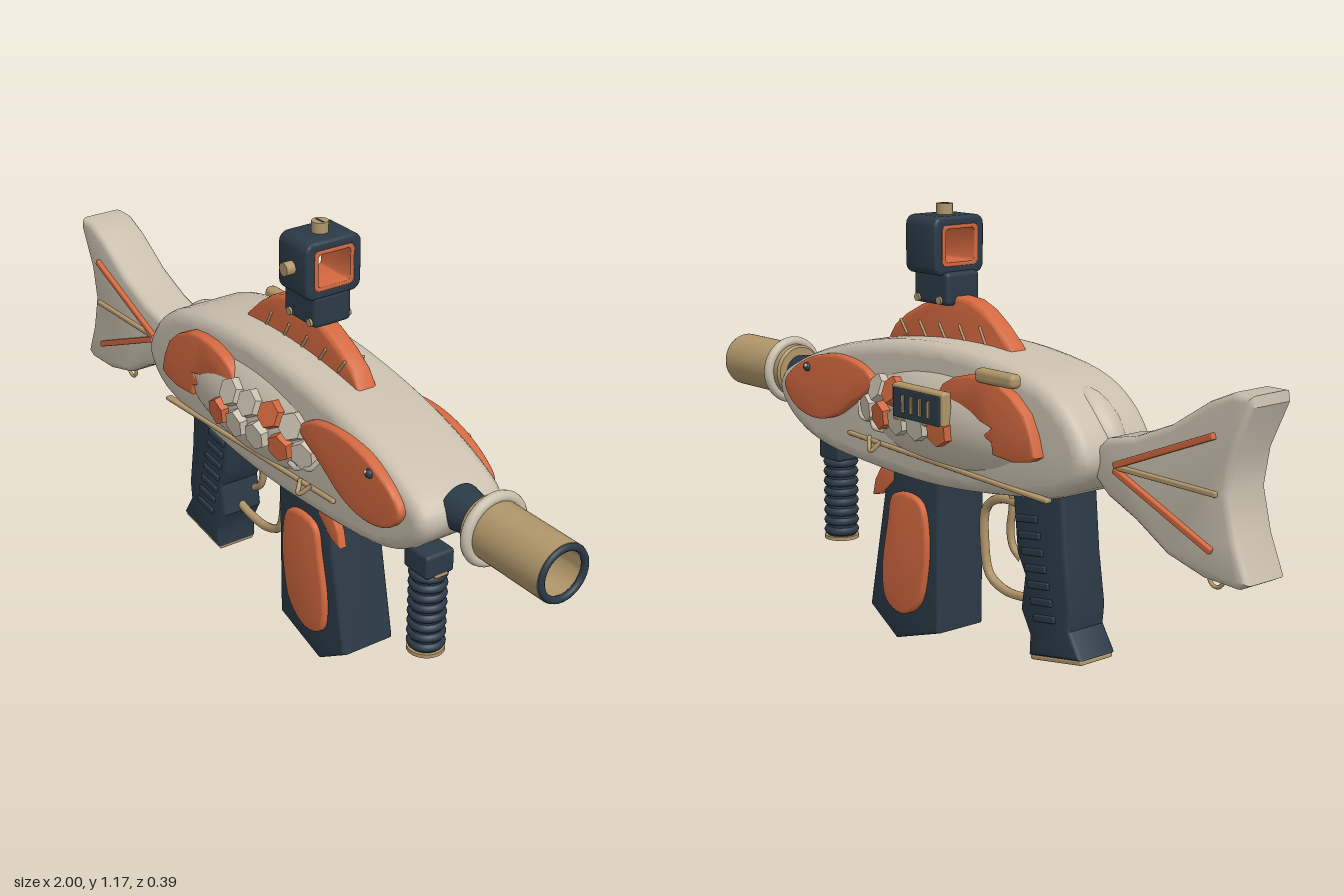
import * as THREE from 'three';
import { toCreasedNormals } from 'three/addons/utils/BufferGeometryUtils.js';
import { RoundedBoxGeometry } from 'three/addons/geometries/RoundedBoxGeometry.js';

const mat = (name, color) => {
  const m = new THREE.MeshStandardMaterial({ color });
  m.name = name;
  return m;
};

export function createModel() {
  const root = new THREE.Group();
  const cream = mat('cream', 0xc9bfae), orange = mat('coral orange', 0xd2683f);
  const navy = mat('dark navy', 0x2b3a47), tan = mat('brass tan', 0xb0966a);

  const add = (name, geo, material, x = 0, y = 0, z = 0) => {
    const mesh = new THREE.Mesh(geo, material);
    mesh.name = name;
    mesh.position.set(x, y, z);
    root.add(mesh);
    return mesh;
  };
  const v2 = (pts) => pts.map(([x, y]) => new THREE.Vector2(x, y));
  const smooth = (pts, n = 48) => {
    const c = new THREE.CatmullRomCurve3(pts.map(([x, y]) => new THREE.Vector3(x, y, 0)), true);
    return c.getPoints(n).slice(0, n).map((p) => [p.x, p.y]);
  };
  // Bevelled slab of total thickness w, centred on z = 0
  const slab = (pts, w, bevel = 0.01, holes = []) => {
    const shape = new THREE.Shape(v2(pts));
    holes.forEach((h) => shape.holes.push(new THREE.Path(v2(h))));
    const g = new THREE.ExtrudeGeometry(shape, {
      depth: w - 2 * bevel, bevelThickness: bevel, bevelSize: bevel, bevelOffset: -bevel, bevelSegments: 3, curveSegments: 8,
    });
    g.translate(0, 0, -w / 2 + bevel);
    return toCreasedNormals(g, 0.6);
  };
  const box = (w, h, d, r = 0.008) => new RoundedBoxGeometry(w, h, d, 2, r);
  const rod = (r, l, axis = 'y', r2 = r, sides = 28) => {
    const g = new THREE.CylinderGeometry(r2, r, l, sides);
    if (axis === 'x') g.rotateZ(-Math.PI / 2);
    if (axis === 'z') g.rotateX(Math.PI / 2);
    return g;
  };
  const tube = (pts, r, closed = false) => new THREE.TubeGeometry(
    new THREE.CatmullRomCurve3(pts.map(([x, y, z = 0]) => new THREE.Vector3(x, y, z)), closed), 28, r, 8, closed);
  const bar = (name, a, b, z, t, d, material) => {
    const m = add(name, box(Math.hypot(b[0] - a[0], b[1] - a[1]), t, d, 0.004), material, (a[0] + b[0]) / 2, (a[1] + b[1]) / 2, z);
    m.rotation.z = Math.atan2(b[1] - a[1], b[0] - a[0]);
  };

  // Fish body, swollen flanks and rear hump
  add('body', slab(smooth([[-0.55, 0.62], [-0.51, 0.71], [-0.41, 0.785], [-0.2, 0.83], [0, 0.837], [0.2, 0.82], [0.4, 0.78],
    [0.57, 0.72], [0.655, 0.665], [0.66, 0.62], [0.6, 0.55], [0.48, 0.5], [0.25, 0.475], [0, 0.468], [-0.25, 0.49], [-0.48, 0.535]], 72), 0.25, 0.035), cream);
  const bulge = { x: -0.05, y: 0.65, rx: 0.44, ry: 0.17, rz: 0.172 };
  add('flankBulge', new THREE.SphereGeometry(1, 48, 32), cream, bulge.x, bulge.y).scale.set(bulge.rx, bulge.ry, bulge.rz);
  const hump = add('rearHump', new THREE.SphereGeometry(1, 24, 18), cream, -0.475, 0.69);
  hump.scale.set(0.105, 0.052, 0.052);
  hump.rotation.z = 0.85;

  // Tail with rays on both faces
  add('tail', slab([[-0.995, 0.845], [-0.94, 0.845], [-0.87, 0.815], [-0.76, 0.745], [-0.65, 0.7], [-0.56, 0.68], [-0.53, 0.65],
    [-0.53, 0.58], [-0.57, 0.545], [-0.66, 0.505], [-0.76, 0.445], [-0.87, 0.415], [-0.97, 0.41], [-1, 0.425],
    [-0.96, 0.52], [-0.935, 0.62], [-0.95, 0.71], [-1, 0.82]], 0.136, 0.018), cream);
  for (const s of [1, -1]) {
    bar('tailRayUpper', [-0.9, 0.745], [-0.6, 0.625], s * 0.07, 0.016, 0.02, orange);
    bar('tailRayMiddle', [-0.91, 0.615], [-0.6, 0.622], s * 0.07, 0.013, 0.016, tan);
    bar('tailRayLower', [-0.9, 0.485], [-0.6, 0.615], s * 0.07, 0.016, 0.02, orange);
  }
  add('tailLoop', new THREE.TorusGeometry(0.021, 0.005, 8, 20), tan, -0.855, 0.4);
  add('noseLoop', new THREE.TorusGeometry(0.023, 0.006, 8, 20), tan, 0.685, 0.575);

  // Side panels, scales and trim
  const headPanel = slab(smooth([[0.2, 0.705], [0.25, 0.745], [0.35, 0.762], [0.46, 0.747], [0.56, 0.7], [0.6, 0.655], [0.56, 0.6],
    [0.47, 0.575], [0.38, 0.592], [0.29, 0.645]]), 0.04, 0.008);
  const rearPanel = slab([[-0.42, 0.62], [-0.405, 0.67], [-0.38, 0.717], [-0.335, 0.755], [-0.283, 0.78], [-0.23, 0.787], [-0.177, 0.786],
    [-0.125, 0.773], [-0.086, 0.752], [-0.06, 0.72], [-0.052, 0.687], [-0.1, 0.7], [-0.15, 0.698], [-0.21, 0.682], [-0.265, 0.668],
    [-0.235, 0.645], [-0.265, 0.632], [-0.27, 0.603], [-0.34, 0.597], [-0.4, 0.608]], 0.05, 0.006);
  const flank = (x, y) => {
    const dx = (x - bulge.x) / bulge.rx, dy = (y - bulge.y) / bulge.ry;
    return Math.max(0.125, bulge.rz * Math.sqrt(Math.max(0, 1 - dx * dx - dy * dy)));
  };
  const scale = toCreasedNormals(rod(0.04, 0.03, 'z', 0.036, 6), 0.4);
  const scales = [[-0.055, 0.705, 0], [0.023, 0.705, 0], [0.103, 0.705, 1], [0.178, 0.7, 0],
    [-0.1, 0.636, 1], [-0.018, 0.636, 0], [0.064, 0.636, 0], [0.148, 0.636, 1], [0.222, 0.642, 0]];
  for (const s of [1, -1]) {
    add('headPanel', headPanel, orange, 0, 0, s * 0.125);
    add('rearPanel', rearPanel, orange, 0, 0, s * 0.13);
    add('eye', new THREE.SphereGeometry(0.012, 16, 12), navy, 0.488, 0.713, s * 0.145);
    add('eyeGlint', new THREE.SphereGeometry(0.005, 10, 8), cream, 0.484, 0.718, s * 0.154);
    scales.forEach(([x, y, c], i) => {
      if (s < 0 && i < 2) return;
      const z = flank(x, y);
      const n = new THREE.Vector3((x - bulge.x) / bulge.rx ** 2, (y - bulge.y) / bulge.ry ** 2, z / bulge.rz ** 2).normalize();
      const m = add('scale', scale, c ? orange : cream, x, y, s * (z + 0.004));
      m.rotation.set(-Math.atan2(n.y, n.z) * s, Math.atan2(n.x, n.z) * s, 0);
      if (s < 0) m.rotateX(Math.PI);
    });
    // Gill arcs behind the head
    for (const [x, y] of [[0.2, 0.59], [0.25, 0.61]])
      add('gillArc', tube([[x - 0.04, y, s * 0.14], [x, y + 0.005, s * 0.145], [x + 0.025, y + 0.04, s * 0.13]], 0.007), cream);
    add('flankHook', tube([[0.19, 0.555, s * 0.13], [0.21, 0.53, s * 0.15], [0.24, 0.56, s * 0.13]], 0.006), tan);
    bar('sideRail', [-0.44, 0.517], [0.33, 0.556], s * 0.125, 0.011, 0.02, tan);
    // Pectoral fins
    add('pectoralFin', slab([[0.2, 0.5], [0.25, 0.475], [0.28, 0.43], [0.29, 0.385], [0.25, 0.395], [0.2, 0.44]], 0.024, 0.005), orange, 0, 0, s * 0.07);
  }

  // Ejection port and bolt handle on the far side
  add('portFrame', box(0.2, 0.095, 0.03), tan, -0.03, 0.69, -0.175);
  add('portPlate', box(0.18, 0.075, 0.012, 0.003), navy, -0.03, 0.69, -0.188);
  for (let i = 0; i < 4; i++) add('portSlat', box(0.01, 0.045, 0.008, 0.002), tan, -0.08 + i * 0.033, 0.69, -0.194);
  add('boltHandle', box(0.14, 0.036, 0.036, 0.014), tan, -0.285, 0.793, -0.15);
  add('boltStem', rod(0.01, 0.05, 'z'), tan, -0.285, 0.785, -0.12);

  // Dorsal fin with slanted ribs
  add('dorsalFin', slab([[-0.22, 0.8], [-0.19, 0.84], [-0.14, 0.885], [-0.09, 0.92], [-0.04, 0.94], [0.02, 0.945], [0.08, 0.935], [0.15, 0.91],
    [0.21, 0.88], [0.26, 0.845], [0.29, 0.8]], 0.056, 0.01), orange);
  for (const s of [1, -1])
    for (let i = 0; i < 5; i++) bar('finRib', [-0.11 + i * 0.078, 0.825], [-0.08 + i * 0.078, 0.88 - i * 0.004], s * 0.028, 0.008, 0.008, tan);

  // Barrel and hollow muzzle
  add('barrelNeck', rod(0.058, 0.1, 'x', 0.043), navy, 0.69, 0.65);
  const muzzle = new THREE.LatheGeometry(v2([[0, 0.76], [0, 0.725], [0.068, 0.725], [0.074, 0.732], [0.074, 0.99], [0.06, 0.99], [0.058, 0.8]].slice(1)), 40);
  add('muzzle', toCreasedNormals(muzzle.rotateZ(-Math.PI / 2), 0.6), tan, 0, 0.65);
  add('muzzleFloor', rod(0.06, 0.01, 'x'), navy, 0.8, 0.65);
  add('muzzleLip', new THREE.TorusGeometry(0.064, 0.009, 10, 40).rotateY(Math.PI / 2), navy, 0.991, 0.65);
  add('muzzleCollar', new THREE.TorusGeometry(0.081, 0.014, 12, 40).rotateY(Math.PI / 2), cream, 0.762, 0.65);

  // Rear grip
  add('grip', slab([[-0.415, 0.52], [-0.24, 0.5], [-0.257, 0.34], [-0.285, 0.29], [-0.272, 0.2], [-0.305, 0.14], [-0.303, 0.085],
    [-0.485, 0.115], [-0.445, 0.18], [-0.45, 0.23], [-0.43, 0.36]], 0.125, 0.012), navy);
  bar('gripBase', [-0.482, 0.109], [-0.305, 0.08], 0, 0.012, 0.11, tan);
  for (const s of [1, -1])
    for (let i = 0; i < 7; i++) bar('gripRidge', [-0.4 + i * 0.011, 0.2 + i * 0.04], [-0.325 + i * 0.011, 0.19 + i * 0.04], s * 0.062, 0.018, 0.014, navy);

  // Trigger and guard
  add('triggerGuard', tube([[-0.26, 0.42], [-0.22, 0.44], [-0.12, 0.44], [-0.075, 0.405], [-0.07, 0.32], [-0.09, 0.235], [-0.15, 0.205], [-0.23, 0.205], [-0.29, 0.22]], 0.012), tan);
  add('trigger', tube([[-0.18, 0.48], [-0.175, 0.42], [-0.168, 0.37], [-0.18, 0.325], [-0.212, 0.3]], 0.01), tan);

  // Magazine with inset panels
  add('magazine', slab([[0.02, 0.5], [0.225, 0.5], [0.31, 0.075], [0.2, 0.005], [0.025, 0.06]], 0.158, 0.01), navy);
  const magPanel = slab(smooth([[0.075, 0.4], [0.13, 0.42], [0.195, 0.405], [0.215, 0.33], [0.24, 0.19], [0.225, 0.11], [0.16, 0.085], [0.09, 0.125],
    [0.06, 0.22], [0.055, 0.32]], 40), 0.03, 0.008);
  for (const s of [1, -1]) add('magazinePanel', magPanel, orange, 0, 0, s * 0.08);

  // Ribbed front grip
  add('foregripCap', box(0.092, 0.065, 0.086, 0.01), navy, 0.538, 0.462);
  add('foregripCore', rod(0.04, 0.23), navy, 0.538, 0.32);
  for (let i = 0; i < 8; i++) add('foregripRing', new THREE.TorusGeometry(0.037, 0.012, 8, 28).rotateX(Math.PI / 2), navy, 0.538, 0.225 + i * 0.028);
  add('foregripBase', rod(0.048, 0.01), tan, 0.538, 0.206);
  add('foregripPin', box(0.006, 0.008, 0.04, 0.002), tan, 0.585, 0.434);

  // Sight with open window along x
  add('sightBase', box(0.132, 0.085, 0.11, 0.012), navy, 0.078, 0.963);
  const rect = (w, h, r) => {
    const pts = [];
    [[1, 1], [-1, 1], [-1, -1], [1, -1]].forEach(([sx, sy], q) => {
      for (let i = 0; i <= 4; i++) {
        const a = (q + i / 4) * Math.PI / 2;
        pts.push([sx * (w - r) + r * Math.cos(a), sy * (h - r) + r * Math.sin(a)]);
      }
    });
    return pts;
  };
  add('sightHousing', slab(rect(0.082, 0.074, 0.025), 0.118, 0.008, [rect(0.05, 0.045, 0.01)]).rotateY(Math.PI / 2), navy, 0.086, 1.071);
  add('sightLiner', slab(rect(0.058, 0.052, 0.012), 0.124, 0.002, [rect(0.047, 0.042, 0.008)]).rotateY(Math.PI / 2), orange, 0.086, 1.071);
  add('topKnob', rod(0.021, 0.035), tan, 0.086, 1.155);
  add('topKnobSlot', box(0.03, 0.003, 0.006, 0.001), navy, 0.086, 1.172);
  add('sideKnob', rod(0.017, 0.03, 'z'), tan, 0.086, 1.071, 0.092);
  for (const s of [1, -1])
    for (const x of [0.04, 0.125]) add('sightScrew', rod(0.01, 0.012, 'z'), tan, x, 0.934, s * 0.055);

  return root;
}
